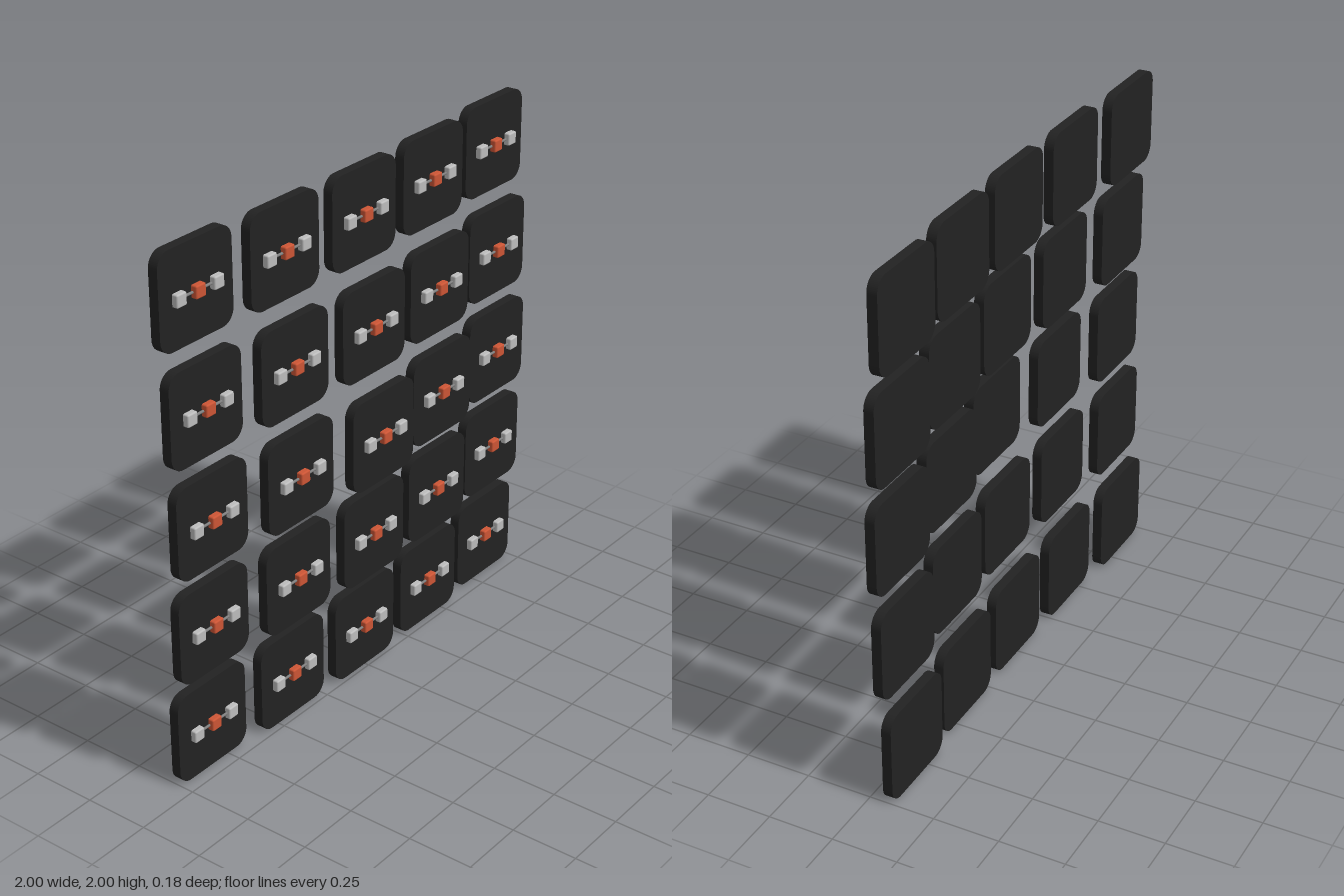
import * as THREE from 'three';
import { RoundedBoxGeometry } from 'three/addons/geometries/RoundedBoxGeometry.js';

const PITCH = 0.412, SIZE = 0.352, THICK = 0.0375, CORNER = 0.055;

// Rounded square slab whose front face lies at z = 0
function tileGeometry() {
  const h = SIZE / 2, r = CORNER, s = new THREE.Shape();
  s.moveTo(-h + r, -h);
  s.lineTo(h - r, -h);
  s.absarc(h - r, -h + r, r, -Math.PI / 2, 0);
  s.absarc(h - r, h - r, r, 0, Math.PI / 2);
  s.absarc(-h + r, h - r, r, Math.PI / 2, Math.PI);
  s.absarc(-h + r, -h + r, r, Math.PI, Math.PI * 1.5);
  const g = new THREE.ExtrudeGeometry(s, { depth: THICK, bevelEnabled: false, curveSegments: 8 });
  return g.translate(0, 0, -THICK);
}

export function createModel() {
  const mat = (name, color) => {
    const m = new THREE.MeshStandardMaterial({ color });
    m.name = name;
    return m;
  };
  const black = mat('black', 0x222222);
  const grey = mat('light grey', 0xbcbcbc);
  const orange = mat('orange red', 0xcc5535);
  const steel = mat('mid grey', 0x808080);

  const tileGeo = tileGeometry();
  const cubeGeo = new RoundedBoxGeometry(0.047, 0.047, 0.044, 2, 0.006);
  const rodGeo = new THREE.CylinderGeometry(0.005, 0.005, 0.18, 8).rotateZ(Math.PI / 2);

  const model = new THREE.Group();
  model.name = 'tileWall';

  const add = (parent, name, geo, material, x, z) => {
    const m = new THREE.Mesh(geo, material);
    m.name = name;
    m.position.set(x, 0, z);
    parent.add(m);
  };

  // 5 x 5 wall, tiles stepping back with distance from the centre
  for (let row = -2; row <= 2; row++) {
    for (let col = -2; col <= 2; col++) {
      const unit = new THREE.Group();
      unit.name = `tileUnit_${row + 3}_${col + 3}`;
      unit.position.set(col * PITCH, 1 + row * PITCH, 0.069 - 0.043 * Math.hypot(row, col));
      add(unit, 'tile', tileGeo, black, 0, 0);
      add(unit, 'rod', rodGeo, steel, 0, 0.006);
      add(unit, 'centreCube', cubeGeo, orange, 0, 0.001);
      for (const side of [-1, 1]) add(unit, side < 0 ? 'rightCube' : 'leftCube', cubeGeo, grey, side * 0.09, 0);
      model.add(unit);
    }
  }
  return model;
}
